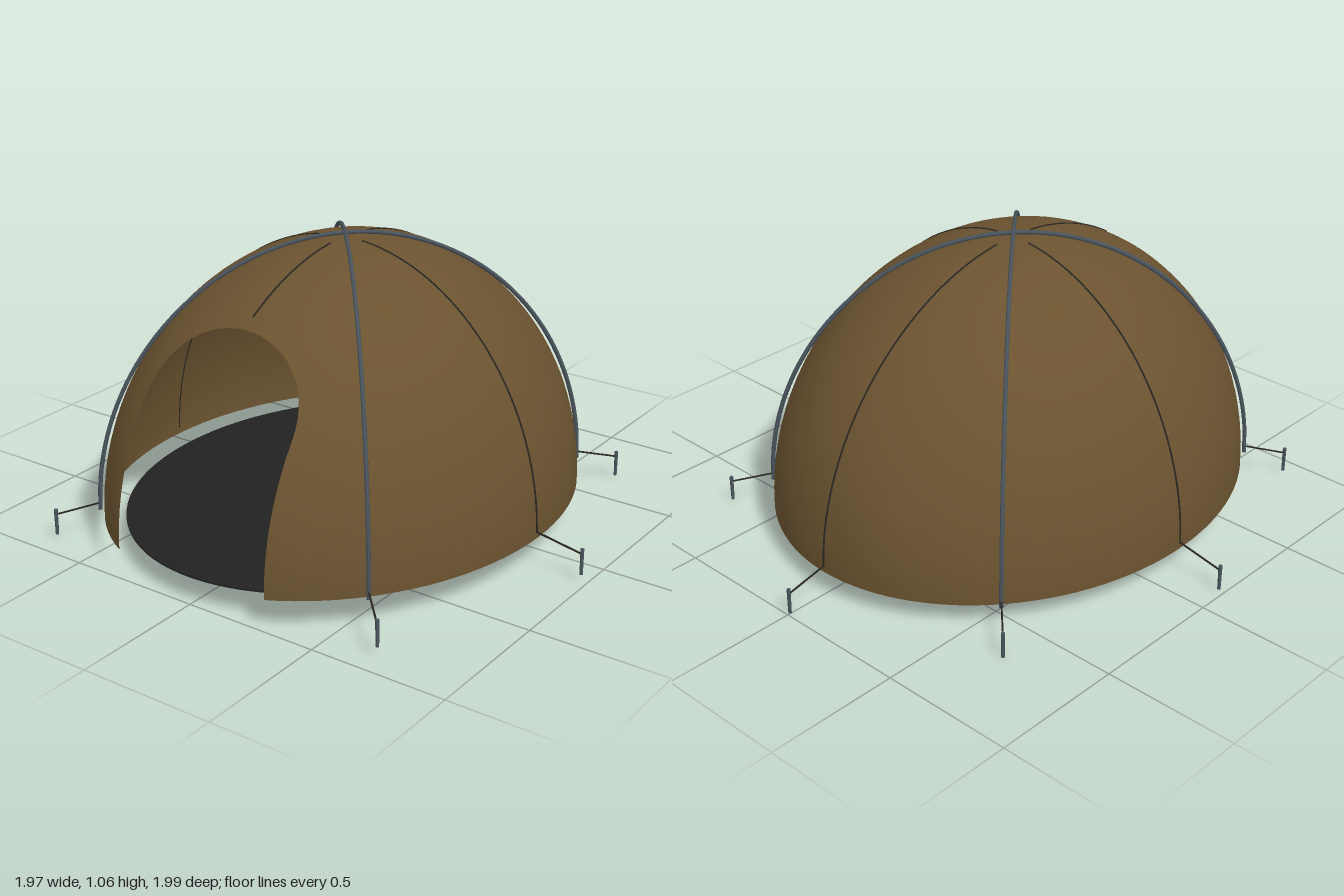
import * as THREE from 'three';

const A = 0.8, B = 0.95, H = 0.94;      // dome half width, half depth, height
const BASE = 0.1, CZ = 0.12;            // dome base height and centre in z
const DOOR_W = 0.31, DOOR_SPRING = 0.6, DOOR_TOP = 0.86;

const mat = (name, color) => {
  const m = new THREE.MeshStandardMaterial({ color });
  m.name = name;
  return m;
};

// Point on the dome at angle phi (0 = front) and height y, pushed out by k
function domePoint(phi, y, k = 1) {
  const s = Math.sqrt(Math.max(0, 1 - ((y - BASE) / H) ** 2)) * k;
  return new THREE.Vector3(A * s * Math.sin(phi), y, CZ + B * s * Math.cos(phi));
}

// Half width of the doorway at height y
function doorHalfWidth(y) {
  if (y <= DOOR_SPRING) return DOOR_W;
  const t = (y - DOOR_SPRING) / (DOOR_TOP - DOOR_SPRING);
  return DOOR_W * Math.sqrt(Math.max(0, 1 - t * t));
}

// Dome shell in rings of equal height, each ring open across the doorway
function domeGeometry() {
  const heights = [];
  for (let i = 0; i < 10; i++) heights.push(BASE + (DOOR_SPRING - BASE) * i / 10);
  for (let i = 0; i < 14; i++) heights.push(DOOR_SPRING + (DOOR_TOP - DOOR_SPRING) * Math.sin(i / 14 * Math.PI / 2));
  const a0 = Math.asin((DOOR_TOP - BASE) / H);
  for (let i = 0; i <= 12; i++) heights.push(BASE + H * Math.sin(a0 + (Math.PI / 2 - a0) * i / 12));

  const cols = 96, pos = [], nor = [], idx = [];
  heights.forEach((y, r) => {
    const s = Math.sqrt(Math.max(0, 1 - ((y - BASE) / H) ** 2));
    const w = doorHalfWidth(y);
    const open = w > 0 ? Math.asin(w / (A * s)) : 0;
    for (let j = 0; j <= cols; j++) {
      const p = domePoint(open + (2 * Math.PI - 2 * open) * j / cols, y);
      const n = new THREE.Vector3(p.x / A ** 2, (y - BASE) / H ** 2, (p.z - CZ) / B ** 2).normalize();
      pos.push(p.x, p.y, p.z);
      nor.push(n.x, n.y, n.z);
      if (r < heights.length - 1 && j < cols) {
        const a = r * (cols + 1) + j, b = a + cols + 1;
        idx.push(a, a + 1, b, a + 1, b + 1, b);
      }
    }
  });
  const g = new THREE.BufferGeometry();
  g.setAttribute('position', new THREE.Float32BufferAttribute(pos, 3));
  g.setAttribute('normal', new THREE.Float32BufferAttribute(nor, 3));
  g.setIndex(idx);
  return g;
}

export function createModel() {
  const group = new THREE.Group();
  group.name = 'domeTent';
  const canvas = mat('brownCanvas', 0x6b5330);
  canvas.side = THREE.DoubleSide;
  const ground = mat('charcoalSheet', 0x222222);
  const metal = mat('slateMetal', 0x4a545d);
  const cord = mat('darkCord', 0x2a2722);

  // The tent stands on gently sloping ground
  const slope = new THREE.Matrix4().set(1, 0, 0, 0, 0.011, 1, 0.011, 0, 0, 0, 1, 0, 0, 0, 0, 1);
  const add = (name, geo, material) => {
    const mesh = new THREE.Mesh(geo.applyMatrix4(slope), material);
    mesh.name = name;
    group.add(mesh);
  };
  const tube = (points, radius, segments) =>
    new THREE.TubeGeometry(new THREE.CatmullRomCurve3(points), segments, radius, 6);

  add('canvasDome', domeGeometry(), canvas);

  // Groundsheet, a little smaller than the dome
  const sheet = new THREE.CylinderGeometry(1, 1, 0.006, 96);
  sheet.scale(0.73, 1, 0.87).translate(0, 0.086, CZ);
  add('groundSheet', sheet, ground);

  // Two crossing arched poles
  for (const side of [-1, 1]) {
    const pts = [];
    for (let i = 0; i <= 24; i++) {
      const t = Math.PI * i / 24, c = Math.cos(t);
      pts.push(new THREE.Vector3(side * 0.58 * c, BASE + 0.955 * Math.sin(t), CZ + 0.68 * c));
    }
    add('archPole', tube(pts, 0.008, 72), metal);
  }

  // Seam cords over the dome; the front one stops above the door
  const seam = (phi, low) => {
    const pts = [], t0 = Math.asin((low - BASE) / H), t1 = Math.acos(0.09);
    for (let i = 0; i <= 16; i++) {
      pts.push(domePoint(phi, BASE + H * Math.sin(t0 + (t1 - t0) * i / 16), 1.001));
    }
    add('seamCord', tube(pts, 0.0035, 48), cord);
  };
  seam(0, 0.89);
  for (const q of [1, 2, 3]) seam(q * Math.PI / 2, 0.125);

  // Guy lines and pegs: [peg x, peg z, line start x, line start z]
  const guys = [[0, -0.99, 0, CZ - B]];
  for (const s of [-1, 1]) {
    guys.push([s * 0.977, CZ, s * A, CZ]);
    for (const d of [-1, 1]) guys.push([s * 0.69, CZ + d * 0.79, s * 0.58, CZ + d * 0.68]);
  }
  for (const [px, pz, lx, lz] of guys) {
    const line = new THREE.LineCurve3(new THREE.Vector3(lx, 0.125, lz), new THREE.Vector3(px, 0.092, pz));
    add('guyLine', new THREE.TubeGeometry(line, 1, 0.0035, 6), cord);
    const peg = new THREE.CylinderGeometry(0.007, 0.006, 0.097, 8);
    peg.translate(px, 0.0635, pz);
    add('peg', peg, metal);
  }
  return group;
}
